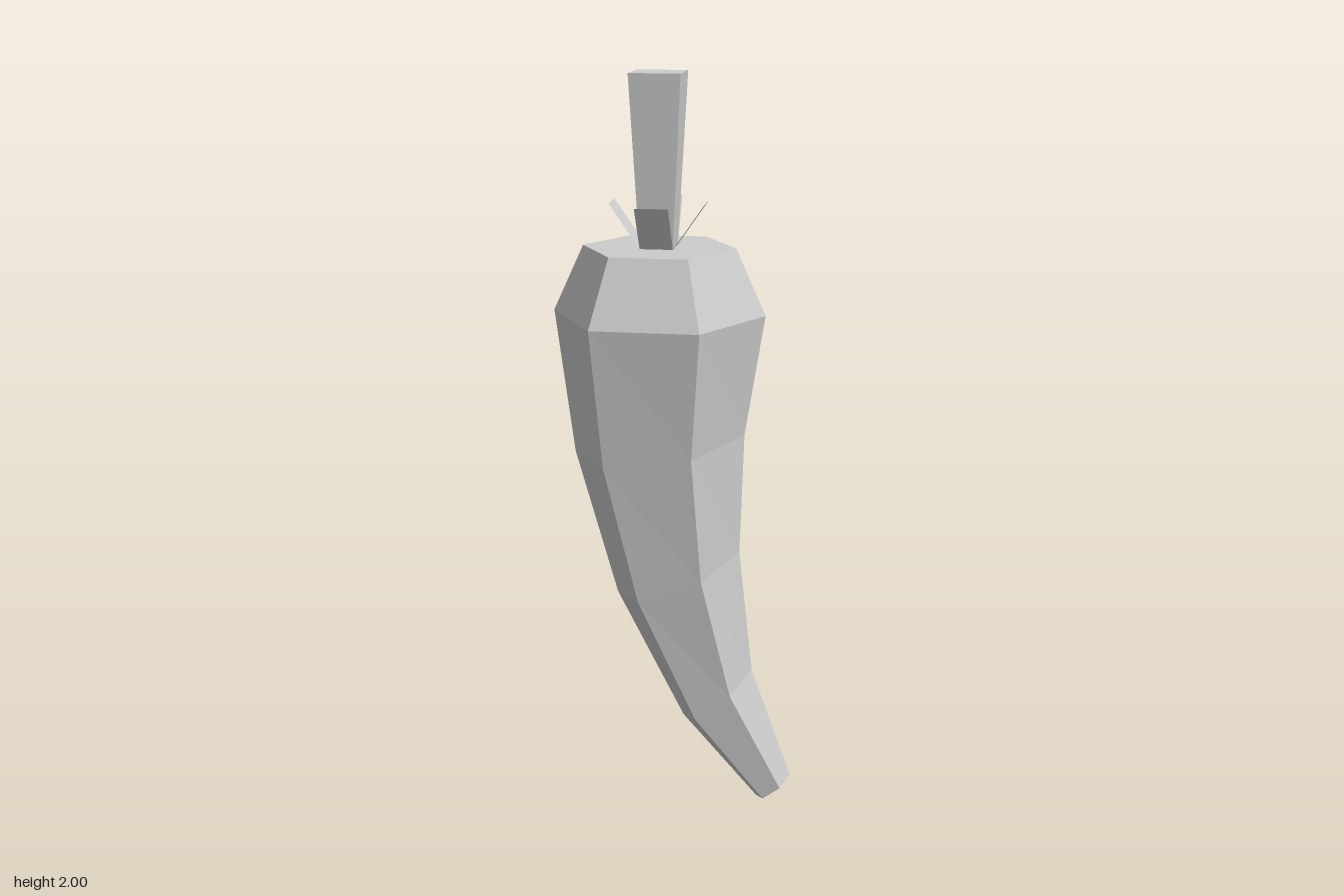
import * as THREE from 'three';

const material = new THREE.MeshStandardMaterial({ color: 0xcccccc, flatShading: true });
const leafMaterial = new THREE.MeshStandardMaterial({ color: 0xcccccc, flatShading: true, side: THREE.DoubleSide });

// Closed six-sided body lofted through tilted hexagon rings.
// Each ring: [leftX, leftY, rightX, rightY] of its two corners on the bend plane.
function loftHexagons(rings) {
  const n = 6, pos = [], index = [];
  for (const [lx, ly, rx, ry] of rings) {
    const dx = (rx - lx) / 2, dy = (ry - ly) / 2, r = Math.hypot(dx, dy);
    for (let k = 0; k < n; k++) {
      const c = Math.cos(k * Math.PI / 3), s = Math.sin(k * Math.PI / 3);
      pos.push(lx + dx + c * dx, ly + dy + c * dy, s * r);
    }
  }
  for (let i = 0; i < rings.length - 1; i++) {
    for (let k = 0; k < n; k++) {
      const a = i * n + k, b = i * n + (k + 1) % n;
      index.push(a, b, a + n, b, b + n, a + n);
    }
  }
  // End caps
  const last = (rings.length - 1) * n;
  for (let k = 1; k < n - 1; k++) {
    index.push(0, k + 1, k, last, last + k, last + k + 1);
  }
  const indexed = new THREE.BufferGeometry();
  indexed.setAttribute('position', new THREE.Float32BufferAttribute(pos, 3));
  indexed.setIndex(index);
  const geometry = indexed.toNonIndexed();
  geometry.computeVertexNormals();
  return geometry;
}

export function createModel() {
  const group = new THREE.Group();
  const add = (name, geometry, mat = material) => {
    const mesh = new THREE.Mesh(geometry, mat);
    mesh.name = name;
    group.add(mesh);
    return mesh;
  };

  // Curved, tapering pepper body
  add('body', loftHexagons([
    [-0.245, 1.56, 0.155, 1.56],
    [-0.325, 1.387, 0.233, 1.387],
    [-0.275, 1.0, 0.182, 1.065],
    [-0.163, 0.6, 0.172, 0.735],
    [0.02, 0.24, 0.21, 0.39],
    [0.228, 0.003, 0.322, 0.075],
  ]));

  // Square stem, wider at the top
  const stemX = -0.046, base = 1.56, height = 0.44;
  const stemGeometry = new THREE.CylinderGeometry(0.066 * Math.SQRT2, 0.043 * Math.SQRT2, height, 4)
    .rotateY(Math.PI / 4)
    .translate(stemX, base + height / 2, 0);
  add('stem', stemGeometry);

  // Four thin sepals leaning outward from the stem base
  const reach = 0.08, rise = 0.115;
  for (let i = 0; i < 4; i++) {
    const sepal = new THREE.PlaneGeometry(0.086, Math.hypot(reach, rise))
      .rotateX(Math.atan2(reach, rise))
      .translate(0, base + rise / 2, 0.043 + reach / 2)
      .rotateY(i * Math.PI / 2)
      .translate(stemX, 0, 0);
    add('sepal' + (i + 1), sepal, leafMaterial);
  }
  return group;
}
